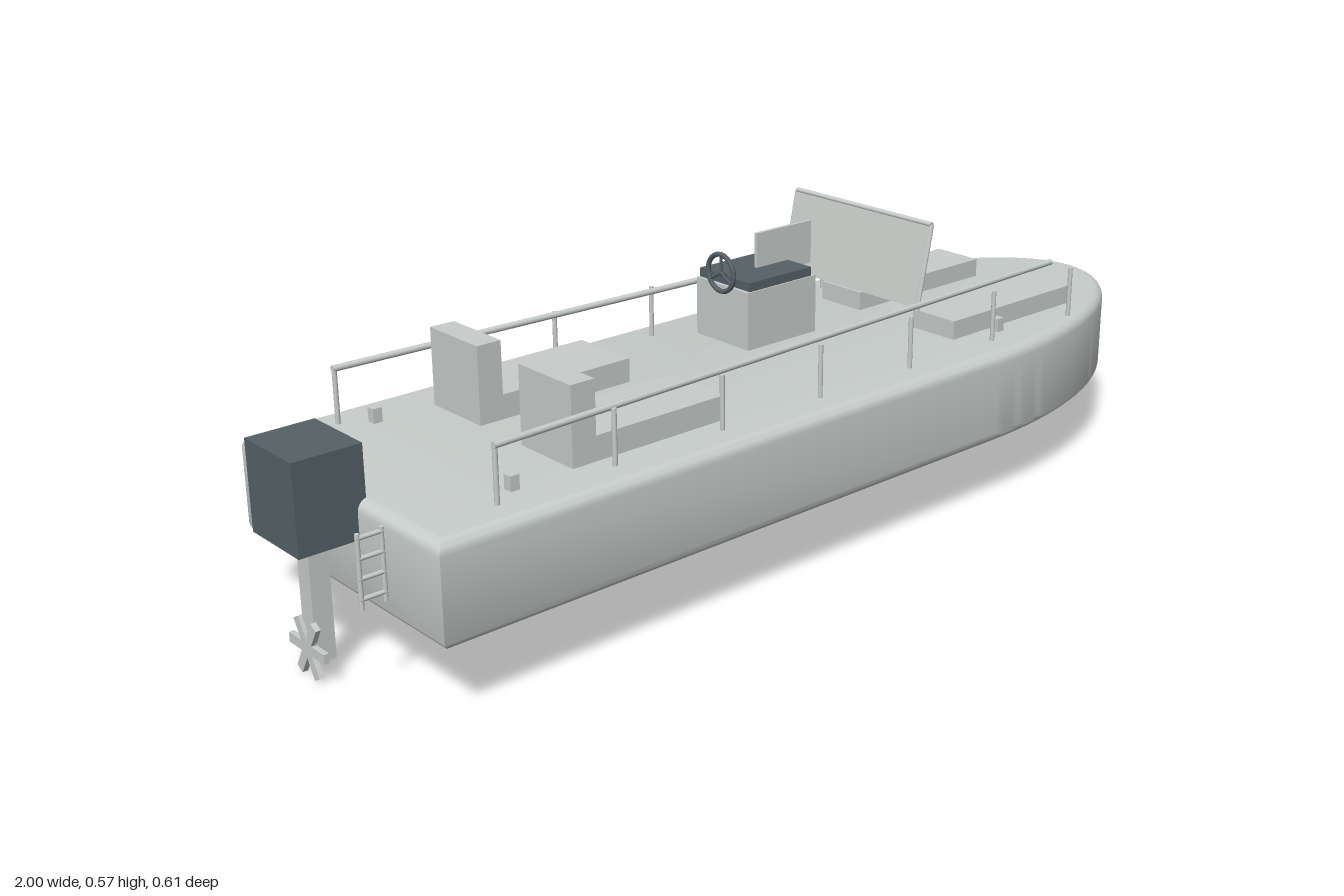
import * as THREE from 'three';
import { toCreasedNormals } from 'three/addons/utils/BufferGeometryUtils.js';

export function createModel() {
  const boat = new THREE.Group();
  boat.name = 'boat';
  const material = (name, color) => {
    const m = new THREE.MeshStandardMaterial({ color });
    m.name = name;
    return m;
  };
  const paleGrey = material('pale grey', 0xc8cecb);
  const darkGrey = material('dark slate', 0x566167);

  const add = (name, geometry, mat = paleGrey, parent = boat) => {
    const mesh = new THREE.Mesh(geometry, mat);
    mesh.name = name;
    parent.add(mesh);
    return mesh;
  };
  // Box given by its limits on each axis
  const box = (name, [x0, x1], [y0, y1], [z0, z1], mat) => {
    const mesh = add(name, new THREE.BoxGeometry(x1 - x0, y1 - y0, z1 - z0), mat);
    mesh.position.set((x0 + x1) / 2, (y0 + y1) / 2, (z0 + z1) / 2);
    return mesh;
  };
  // Round bar between two points
  const bar = (name, from, to, radius, mat = paleGrey, parent = boat) => {
    const a = new THREE.Vector3(...from), b = new THREE.Vector3(...to);
    const dir = b.clone().sub(a);
    const mesh = add(name, new THREE.CylinderGeometry(radius, radius, dir.length(), 12), mat, parent);
    mesh.position.copy(a).add(b).multiplyScalar(0.5);
    mesh.quaternion.setFromUnitVectors(new THREE.Vector3(0, 1, 0), dir.normalize());
    return mesh;
  };

  // Hull: straight sides, rounded bow, softened top and bottom edges
  const bevel = 0.022;
  const plan = new THREE.Shape();
  plan.moveTo(-0.89, -0.303);
  plan.lineTo(0.4, -0.303);
  plan.absellipse(0.4, 0, 0.6, 0.303, -Math.PI / 2, Math.PI / 2, false, 0);
  plan.lineTo(-0.89, 0.303);
  plan.closePath();
  const hull = new THREE.ExtrudeGeometry(plan, {
    depth: 0.185 - 2 * bevel, curveSegments: 40, bevelEnabled: true,
    bevelThickness: bevel, bevelSize: bevel, bevelOffset: -bevel, bevelSegments: 5,
  });
  hull.rotateX(-Math.PI / 2).translate(0, 0.135 + bevel, 0);
  add('hull', toCreasedNormals(hull, 0.6));

  // Seats, benches, cleats and rails on both sides
  for (const side of [-1, 1]) {
    const span = (a, b) => [a * side, b * side].sort((p, q) => p - q);
    box('aftSeat', [-0.56, -0.225], [0.315, 0.366], span(0.06, 0.203));
    box('aftSeatBack', [-0.56, -0.51], [0.315, 0.467], span(0.06, 0.203));
    box('bowBench', [0.4, 0.765], [0.315, 0.358], span(0.074, 0.184));
    for (const x of [-0.683, 0.51]) {
      box('cleat', [x - 0.009, x + 0.009], [0.315, 0.347], span(0.194, 0.212));
    }
    for (let i = 0; i < 7; i++) {
      const x = -0.737 + i * 0.238;
      bar('railPost', [x, 0.315, 0.238 * side], [x, 0.422, 0.238 * side], 0.0045);
    }
    bar('handRail', [-0.74, 0.422, 0.239 * side], [0.693, 0.422, 0.184 * side], 0.006);
  }

  // Helm console with dark dash, display and wheel
  box('console', [0.055, 0.237], [0.315, 0.437], [-0.19, -0.04]);
  box('dash', [0.062, 0.227], [0.437, 0.455], [-0.188, -0.043], darkGrey);
  box('display', [0.143, 0.291], [0.437, 0.525], [-0.118, -0.11]);
  const wheel = new THREE.Group();
  wheel.name = 'steeringWheel';
  wheel.position.set(0.05, 0.463, -0.113);
  wheel.rotation.y = Math.PI / 2;
  boat.add(wheel);
  add('wheelRim', new THREE.TorusGeometry(0.037, 0.005, 10, 32), darkGrey, wheel);
  for (let i = 0; i < 3; i++) {
    const a = Math.PI / 2 + (i * 2 * Math.PI) / 3;
    bar('wheelSpoke', [0, 0, 0], [0.037 * Math.cos(a), 0.037 * Math.sin(a), 0], 0.003, darkGrey, wheel);
  }
  bar('steeringShaft', [0.05, 0.463, -0.113], [0.075, 0.445, -0.113], 0.005, darkGrey);

  // Raked windshield and its frame
  const shield = box('windshield', [0.303, 0.311], [0.407, 0.567], [-0.184, 0.184]);
  shield.rotation.z = -0.2;
  for (const z of [-0.184, 0.184]) {
    bar('windshieldPost', [0.29, 0.404, z], [0.324, 0.568, z], 0.0045);
  }
  bar('windshieldTopRail', [0.324, 0.569, -0.184], [0.324, 0.569, 0.184], 0.005);

  // Outboard engine with leg and propeller
  box('engineCowl', [-1, -0.873], [0.25, 0.413], [-0.072, 0.072], darkGrey);
  box('engineLeg', [-0.955, -0.918], [0.028, 0.255], [-0.018, 0.018]);
  const propeller = new THREE.Group();
  propeller.name = 'propeller';
  propeller.position.set(-0.957, 0.0535, 0);
  boat.add(propeller);
  for (let i = 0; i < 3; i++) {
    const blade = add('propellerBlade', new THREE.BoxGeometry(0.01, 0.018, 0.11), paleGrey, propeller);
    blade.rotation.x = (i * Math.PI) / 3;
  }

  // Boarding ladder at the stern
  for (const x of [-0.937, -0.893]) {
    bar('ladderRail', [x, 0.17, 0.145], [x, 0.3, 0.145], 0.004);
  }
  for (let i = 0; i < 4; i++) {
    const y = 0.187 + i * 0.035;
    bar('ladderRung', [-0.94, y, 0.145], [-0.886, y, 0.145], 0.004);
  }
  return boat;
}
